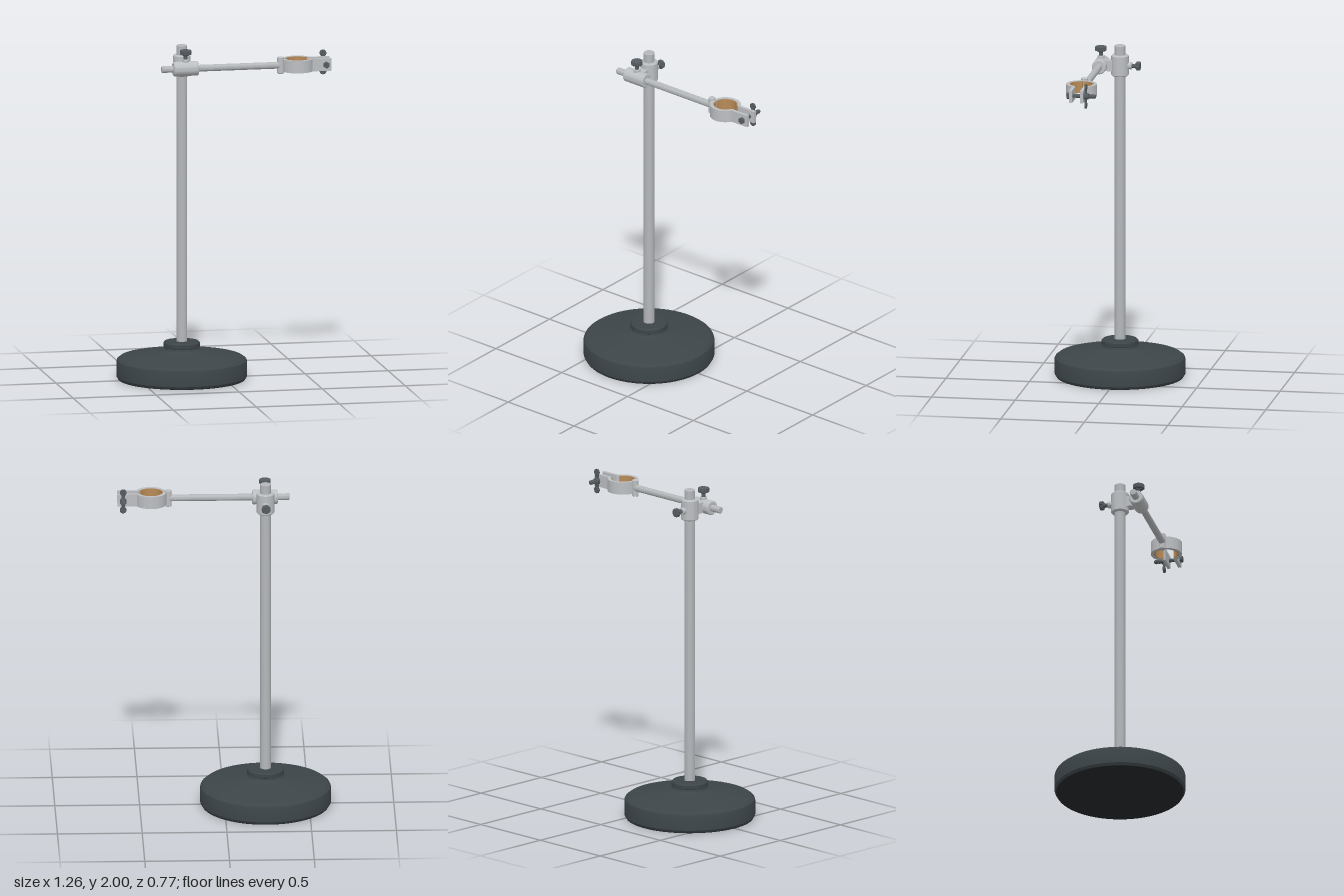
import * as THREE from 'three';
import { toCreasedNormals } from 'three/addons/utils/BufferGeometryUtils.js';

const mat = (name, color, side = THREE.FrontSide) => {
  const m = new THREE.MeshStandardMaterial({ color, side });
  m.name = name;
  return m;
};

export function createModel() {
  const iron = mat('dark painted iron', 0x3d4549);
  const rubber = mat('black rubber', 0x242628);
  const steel = mat('steel rod', 0xb4b7ba);
  const cast = mat('cast metal', 0xbcbfc2);
  const screw = mat('dark screw metal', 0x555c61);
  const cork = mat('cork lining', 0xb88a58);

  const model = new THREE.Group();
  model.name = 'laboratoryStand';
  const PX = -0.243;          // pole position in x
  const AY = 1.878, AZ = 0.114; // arm axis
  const RX = 0.43, BX = 0.595;  // ring centre and clamp bolt

  function add(name, geometry, material, x = 0, y = 0, z = 0, parent = model) {
    const mesh = new THREE.Mesh(geometry, material);
    mesh.name = name;
    mesh.position.set(x, y, z);
    parent.add(mesh);
    return mesh;
  }

  // Solid of revolution from [radius, position] pairs, turned onto an axis
  function turned(points, axis = 'y', segments = 40) {
    const profile = points.map(([r, h]) => new THREE.Vector2(r, h));
    let g = new THREE.LatheGeometry(profile, segments);
    if (axis === 'x') g.rotateZ(-Math.PI / 2);
    if (axis === 'z') g.rotateX(Math.PI / 2);
    return toCreasedNormals(g, 0.45);
  }
  // Bar with chamfered ends running from a to b along the axis
  const bar = (r, a, b, axis, c = 0.004, segments = 40) =>
    turned([[0, a], [r - c, a], [r, a + c], [r, b - c], [r - c, b], [0, b]], axis, segments);

  // Weighted base
  add('basePad', bar(0.376, 0, 0.008, 'y', 0.001, 72), rubber, PX);
  add('base', turned([
    [0, 0.004], [0.377, 0.004], [0.386, 0.018], [0.386, 0.105], [0.382, 0.115], [0.365, 0.128],
    [0.28, 0.142], [0.19, 0.157], [0.14, 0.164], [0.118, 0.17], [0.106, 0.178], [0.101, 0.19],
    [0.108, 0.194], [0.108, 0.216], [0.1, 0.225], [0, 0.225],
  ], 'y', 72), iron, PX);

  // Pole and horizontal arm
  add('pole', bar(0.032, 0.2, 2, 'y'), steel, PX);
  add('arm', bar(0.02, -0.388, 0.335, 'x'), steel, 0, AY, AZ);

  // Boss head joining pole and arm
  const head = new THREE.Group();
  head.name = 'bossHead';
  model.add(head);
  add('poleSleeve', bar(0.052, 1.817, 1.943, 'y', 0.006), cast, PX, 0, 0, head);
  add('armSleeve', bar(0.043, -0.075, 0.075, 'x', 0.005), cast, PX, AY, AZ, head);
  add('sleeveWeb', new THREE.BoxGeometry(0.06, 0.064, 0.06), cast, PX, AY, 0.065, head);

  // Thumb screw with a ribbed knob, pointing along +y
  function thumbScrew(name, bossEnd, knobStart, knobEnd, knobRadius) {
    const g = new THREE.Group();
    g.name = name;
    add('screwBoss', bar(0.021, 0.03, bossEnd, 'y', 0.002, 24), cast, 0, 0, 0, g);
    add('screwShaft', bar(0.012, 0.03, knobStart + 0.005, 'y', 0.001, 20), screw, 0, 0, 0, g);
    add('screwCollar', bar(0.017, knobStart - 0.007, knobStart + 0.002, 'y', 0.002, 20), screw, 0, 0, 0, g);
    const shape = new THREE.Shape();
    const ribs = 18;
    for (let i = 0; i < ribs * 2; i++) {
      const a = (i / ribs) * Math.PI, r = knobRadius - (i % 2) * 0.003;
      shape[i ? 'lineTo' : 'moveTo'](Math.cos(a) * r, Math.sin(a) * r);
    }
    const knob = new THREE.ExtrudeGeometry(shape, {
      depth: knobEnd - knobStart - 0.006, bevelThickness: 0.003, bevelSize: 0.003, bevelOffset: -0.003, bevelSegments: 1,
    });
    knob.rotateX(-Math.PI / 2);
    add('knob', knob, screw, 0, knobStart + 0.003, 0, g);
    head.add(g);
    return g;
  }
  thumbScrew('armScrew', 0.056, 0.084, 0.112, 0.034).position.set(PX, AY, AZ);
  const poleScrew = thumbScrew('poleScrew', 0.072, 0.098, 0.122, 0.027);
  poleScrew.position.set(PX, AY, 0);
  poleScrew.rotation.x = -Math.PI / 2;

  // Ring clamp: two mirrored jaws with cork lining
  const clamp = new THREE.Group();
  clamp.name = 'ringClamp';
  clamp.position.set(RX, AY, AZ);
  model.add(clamp);

  function plate(points, height) {
    const shape = new THREE.Shape(points.map(([x, y]) => new THREE.Vector2(x, y)));
    const g = new THREE.ExtrudeGeometry(shape, { depth: height, bevelEnabled: false });
    g.translate(0, 0, -height / 2).rotateX(-Math.PI / 2);
    return toCreasedNormals(g, 0.45);
  }
  const arc = (r, from, to, n = 28) => Array.from({ length: n + 1 }, (_, i) => {
    const a = THREE.MathUtils.degToRad(from + ((to - from) * i) / n);
    return [Math.cos(a) * r, Math.sin(a) * r];
  });
  for (const side of [1, -1]) {
    const flip = pts => pts.map(([x, y]) => [x, y * side]);
    const label = side > 0 ? 'back' : 'front';
    add(label + 'Jaw', plate(flip([
      ...arc(0.092, 179, 27.5), [0.198, 0.0425], [0.198, 0.0235], [0.078, 0.0235], ...arc(0.072, 27.5, 178),
    ]), 0.074), cast, 0, 0, 0, clamp);
    add(label + 'Lining', plate(flip([
      ...arc(0.0725, 176, 28), ...arc(0.066, 28, 176),
    ]), 0.07), cork, 0, 0, 0, clamp);
  }
  add('hingePin', bar(0.02, -0.05, 0.049, 'y', 0.003, 28), cast, -0.102, 0, 0, clamp);

  // Clamp bolt with hexagon head, thread and wing nut
  const bolt = new THREE.Group();
  bolt.name = 'clampBolt';
  bolt.position.set(BX, AY, 0);
  model.add(bolt);
  add('boltShaft', bar(0.011, 0, 0.165, 'z', 0.003, 20), screw, 0, 0, 0, bolt);
  add('boltHead', bar(0.02, 0.156, 0.174, 'z', 0.002, 6), screw, 0, 0, 0, bolt);
  for (let i = 0; i < 4; i++) {
    add('threadRidge', bar(0.0135, -0.004, 0.004, 'z', 0.003, 16), screw, 0, 0, 0.01 + i * 0.0095, bolt);
  }
  add('nutHub', bar(0.02, 0.044, 0.072, 'z', 0.004, 24), screw, 0, 0, 0, bolt);
  for (const s of [1, -1]) {
    add('wingStem', new THREE.BoxGeometry(0.022, 0.045, 0.01), screw, 0, s * 0.032, 0.06, bolt);
    add('wingLobe', bar(0.02, -0.006, 0.006, 'z', 0.002, 24), screw, 0, s * 0.054, 0.06, bolt);
  }
  return model;
}
